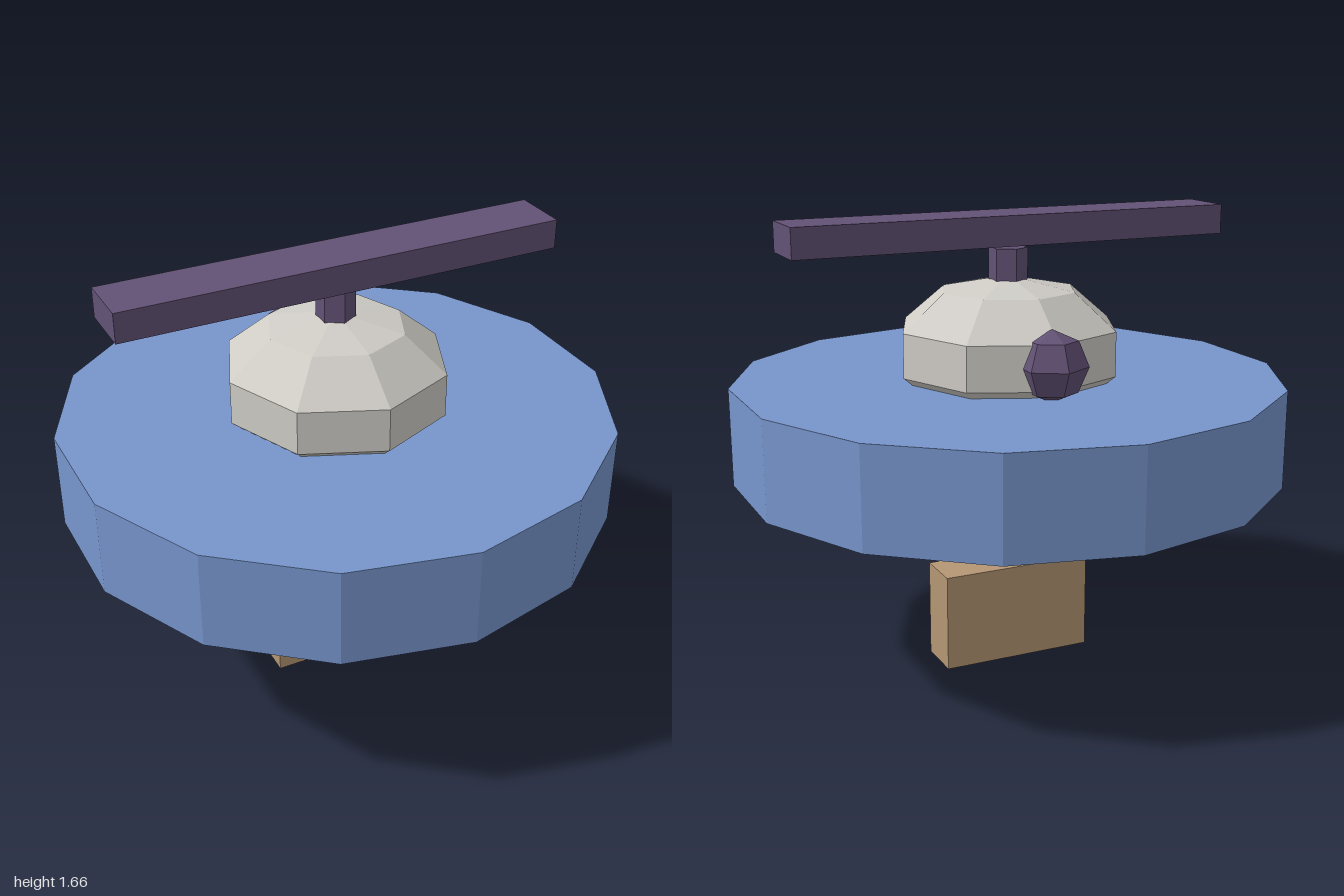
import * as THREE from 'three';

// Flat-shaded material for each colour
const paint = (name, color) => {
  const m = new THREE.MeshStandardMaterial({ color, flatShading: true });
  m.name = name;
  return m;
};

export function createModel() {
  const blue = paint('blue', 0x7795cc);
  const grey = paint('pale grey', 0xcfccc6);
  const purple = paint('purple', 0x625175);
  const tan = paint('tan', 0xb59674);

  const model = new THREE.Group();
  model.name = 'hoverCraft';

  const add = (name, geometry, material, x, y, z) => {
    const mesh = new THREE.Mesh(geometry, material);
    mesh.name = name;
    mesh.position.set(x, y, z);
    model.add(mesh);
    return mesh;
  };

  // Hanging block below the disc
  add('lowerBlock', new THREE.BoxGeometry(0.57, 0.36, 0.176), tan, 0, 0.18, 0);

  // Fourteen-sided body
  add('discBody', new THREE.CylinderGeometry(1, 1, 0.355, 14), blue, 0, 0.895, 0);

  // Squashed faceted dome, its underside sunk into the disc
  const dome = new THREE.SphereGeometry(0.425, 8, 5);
  dome.scale(1, 0.612, 1);
  add('dome', dome, grey, 0, 1.18, 0);

  // Ball at the back of the dome, one corner pointing backwards
  const ball = new THREE.SphereGeometry(0.127, 6, 4);
  ball.rotateY(Math.PI / 2);
  add('rearBall', ball, purple, 0, 1.18, -0.356);

  // Rotor: short hexagonal mast with a bar floating just above it
  add('mast', new THREE.CylinderGeometry(0.07, 0.07, 0.16, 6), purple, 0, 1.46, 0);
  add('rotorBlade', new THREE.BoxGeometry(1.64, 0.107, 0.21), purple, 0, 1.609, 0);

  return model;
}
